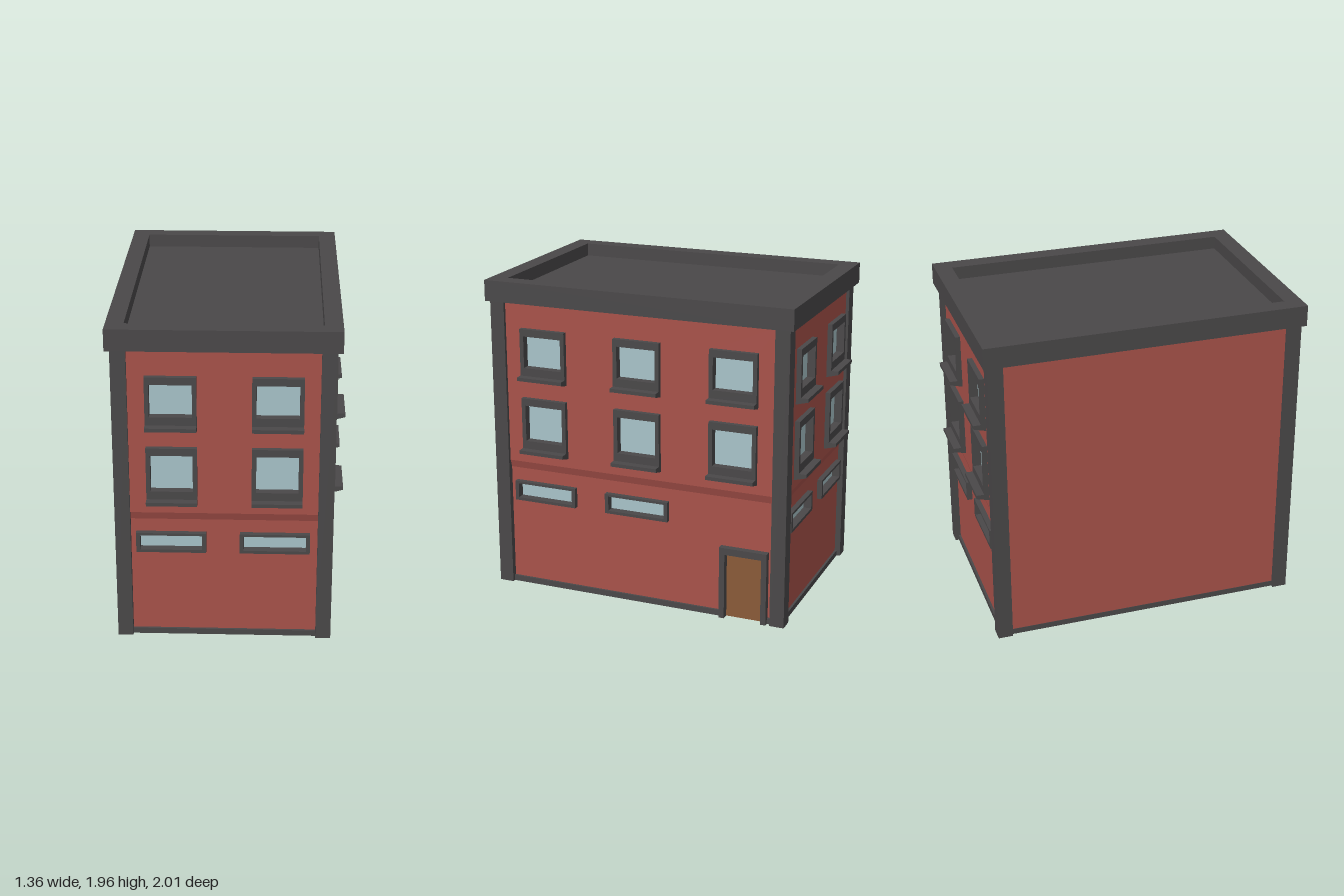
import * as THREE from 'three';

const mat = (color) => new THREE.MeshStandardMaterial({ color, flatShading: true });
const brick = mat(0xa8524a), trim = mat(0x4a4849), glass = mat(0xa8c3c9), wood = mat(0x8a5a38);

// Building outline (outer faces of the corner pillars)
const X0 = -0.653, X1 = 0.619, Z0 = -0.947, Z1 = 0.951;
const CX = (X0 + X1) / 2, CZ = (Z0 + Z1) / 2;
const PILLAR = 0.09, EAVES = 1.828, TOP = 1.956;
// Depths of the wall faces behind the pillar faces
const UPPER = -0.02, LOWER = -0.036, THICK = 0.025;

function add(parent, name, geometry, material) {
  const mesh = new THREE.Mesh(geometry, material);
  mesh.name = name;
  parent.add(mesh);
  return mesh;
}

function box(parent, name, material, x0, x1, y0, y1, z0, z1) {
  const g = new THREE.BoxGeometry(x1 - x0, y1 - y0, z1 - z0);
  g.translate((x0 + x1) / 2, (y0 + y1) / 2, (z0 + z1) / 2);
  return add(parent, name, g, material);
}

const rectPoints = (x0, x1, y0, y1) =>
  [[x0, y0], [x1, y0], [x1, y1], [x0, y1]].map(([x, y]) => new THREE.Vector2(x, y));

// Flat panel with rectangular holes, from depth "back" to depth "front"
function panel(parent, name, material, outline, holes, back, front) {
  const shape = new THREE.Shape(outline);
  for (const h of holes) shape.holes.push(new THREE.Path(rectPoints(...h)));
  const g = new THREE.ExtrudeGeometry(shape, { depth: front - back, bevelEnabled: false });
  g.translate(0, 0, back);
  return add(parent, name, g, material);
}

// Moulding: a (depth, height) profile swept along x
function moulding(parent, name, material, x0, x1, profile) {
  const shape = new THREE.Shape(profile.map(([z, y]) => new THREE.Vector2(-z, y)));
  const g = new THREE.ExtrudeGeometry(shape, { depth: x1 - x0, bevelEnabled: false });
  g.rotateY(Math.PI / 2);
  g.translate(x0, 0, 0);
  return add(parent, name, g, material);
}

// Frame, recessed pane and optional sloped sill
function makeWindow(parent, [x0, x1, y0, y1], [side, bottom, top], front, sill) {
  const w = new THREE.Group();
  w.name = 'window';
  parent.add(w);
  const hole = [x0 + side, x1 - side, y0 + bottom, y1 - top];
  panel(w, 'windowFrame', trim, rectPoints(x0, x1, y0, y1), [hole], front - 0.075, front);
  box(w, 'windowPane', glass, ...hole, front - 0.065, front - 0.05);
  if (sill) {
    moulding(w, 'windowSill', trim, x0, x1, [
      [-0.03, y0 - 0.043], [UPPER, y0 - 0.043], [0.057, y0 - 0.022], [0.057, y0], [-0.03, y0],
    ]);
  }
}

// Wall in local space: x along the wall, z = 0 at the pillar face
function makeWall(name, half, upperCentres, lowerCentres, door) {
  const wall = new THREE.Group();
  wall.name = name;
  const upper = [], lower = [];
  for (const c of upperCentres) {
    upper.push([c - 0.147, c + 0.147, 1.38, 1.671], [c - 0.147, c + 0.147, 0.915, 1.236]);
  }
  for (const c of lowerCentres) lower.push([c - 0.205, c + 0.205, 0.562, 0.687]);
  const inset = ([a, b, c, d]) => [a + 0.01, b - 0.01, c + 0.01, d - 0.01];

  panel(wall, 'upperWall', brick, rectPoints(-half, half, 0.815, EAVES + 0.01),
    upper.map(inset), UPPER - THICK, UPPER);
  const outline = rectPoints(-half, half, 0, 0.767);
  if (door) {
    const [d0, d1, dy] = door;
    outline.splice(1, 0, ...[[d0 + 0.01, 0], [d0 + 0.01, dy - 0.01], [d1 - 0.01, dy - 0.01], [d1 - 0.01, 0]]
      .map(([x, y]) => new THREE.Vector2(x, y)));
  }
  panel(wall, 'lowerWall', brick, outline, lower.map(inset), LOWER - THICK, LOWER);
  // Sloped step where the upper floors overhang the ground floor
  moulding(wall, 'wallStep', brick, -half, half, [
    [LOWER - THICK, 0.767], [LOWER, 0.767], [UPPER, 0.815], [LOWER - THICK, 0.815],
  ]);

  for (const r of upper) makeWindow(wall, r, [0.025, 0.05, 0.045], 0.01, true);
  for (const r of lower) makeWindow(wall, r, [0.023, 0.018, 0.015], -0.004, false);

  // Base strip, interrupted by the door
  const spans = door ? [[-half, door[0] + 0.01], [door[1] - 0.01, half]] : [[-half, half]];
  for (const [a, b] of spans) box(wall, 'baseStrip', trim, a, b, 0, 0.036, -0.066, -0.022);

  if (door) {
    const [d0, d1, dy] = door, t = 0.034;
    const pts = [[d0, 0], [d0 + t, 0], [d0 + t, dy - 0.043], [d1 - t, dy - 0.043],
      [d1 - t, 0], [d1, 0], [d1, dy], [d0, dy]].map(([x, y]) => new THREE.Vector2(x, y));
    panel(wall, 'doorFrame', trim, pts, [], -0.07, 0.004);
    box(wall, 'door', wood, d0 + t, d1 - t, 0, dy - 0.043, -0.06, -0.04);
  }
  return wall;
}

export function createModel() {
  const model = new THREE.Group();
  model.name = 'building';

  // Corner pillars
  for (const x of [X0, X1 - PILLAR]) {
    for (const z of [Z0, Z1 - PILLAR]) {
      box(model, 'cornerPillar', trim, x, x + PILLAR, 0, EAVES + 0.01, z, z + PILLAR);
    }
  }

  // Front and back walls share one layout
  const halfX = (X1 - X0) / 2 - PILLAR + 0.02, halfZ = (Z1 - Z0) / 2 - PILLAR + 0.02;
  const layout = [[-0.3, 0.307], [-0.31, 0.297]];
  const front = makeWall('frontWall', halfX, ...layout);
  front.position.set(CX, 0, Z1);
  const back = makeWall('backWall', halfX, ...layout);
  back.position.set(CX, 0, Z0);
  back.rotation.y = Math.PI;

  // Long wall with the door
  const left = makeWall('leftWall', halfZ, [-0.606, 0.006, 0.612], [-0.617, -0.006], [0.537, 0.836, 0.457]);
  left.position.set(X1, 0, CZ);
  left.rotation.y = Math.PI / 2;
  model.add(front, back, left);

  // Plain party wall
  box(model, 'rightWall', brick, X0 + 0.02, X0 + 0.045, 0, EAVES + 0.01, CZ - halfZ, CZ + halfZ);
  box(model, 'baseStrip', trim, X0 + 0.018, X0 + 0.06, 0, 0.036, CZ - halfZ, CZ + halfZ);

  // Flat roof with a raised parapet
  const R = 0.028, P = 0.105;
  const rx0 = X0 - R, rx1 = X1 + R, rz0 = Z0 - R, rz1 = Z1 + 0.02;
  const parapet = panel(model, 'parapet', trim, rectPoints(rx0, rx1, -rz1, -rz0),
    [[rx0 + P, rx1 - P, -rz1 + P, -rz0 - P]], EAVES, TOP);
  parapet.rotation.x = -Math.PI / 2;
  box(model, 'roofDeck', trim, rx0 + P, rx1 - P, EAVES, 1.876, rz0 + P, rz1 - P);

  return model;
}
